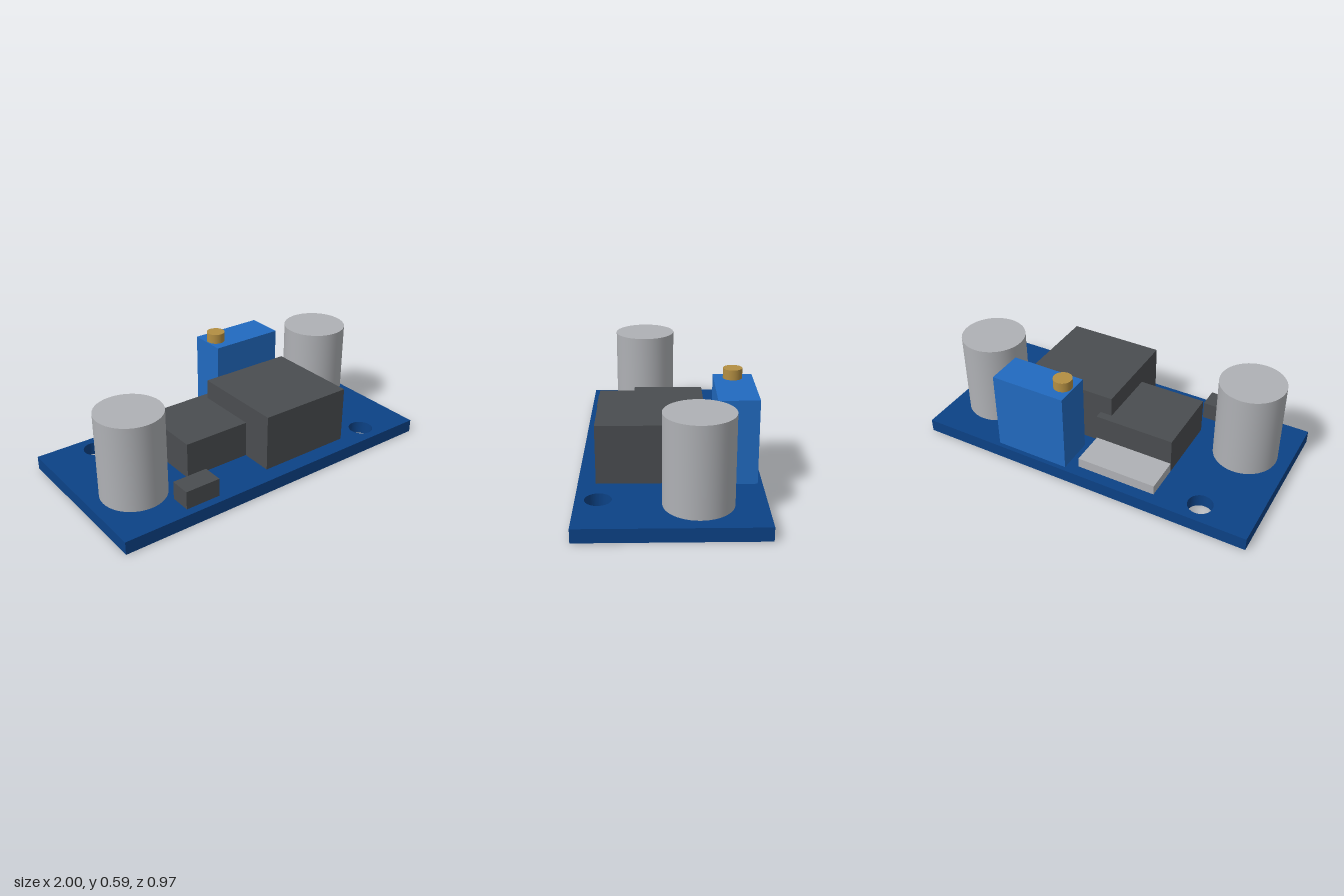
import * as THREE from 'three';

const BOARD_TOP = 0.075;

function material(name, color) {
  const m = new THREE.MeshStandardMaterial({ color });
  m.name = name;
  return m;
}

export function createModel() {
  const model = new THREE.Group();
  model.name = 'converterBoard';

  const boardBlue = material('board blue', 0x0c4286);
  const caseBlue = material('case blue', 0x216ac0);
  const darkGrey = material('dark grey', 0x4a4d50);
  const silver = material('silver', 0xafb1b5);
  const brass = material('brass', 0xb38e42);

  const add = (name, geometry, mat, x, y, z) => {
    const mesh = new THREE.Mesh(geometry, mat);
    mesh.name = name;
    mesh.position.set(x, y, z);
    model.add(mesh);
  };

  // Block spanning x0..x1 and z0..z1, from the board up to a given height
  const block = (name, mat, x0, x1, z0, z1, top) => {
    const h = top - BOARD_TOP;
    add(name, new THREE.BoxGeometry(x1 - x0, h, z1 - z0), mat,
      (x0 + x1) / 2, BOARD_TOP + h / 2, (z0 + z1) / 2);
  };

  // Upright cylinder between two heights
  const post = (name, mat, radius, x, z, bottom, top) => {
    add(name, new THREE.CylinderGeometry(radius, radius, top - bottom, 48), mat,
      x, (bottom + top) / 2, z);
  };

  // Circuit board with two mounting holes (shape y becomes -z)
  const outline = new THREE.Shape();
  outline.moveTo(-1, -0.485);
  outline.lineTo(1, -0.485);
  outline.lineTo(1, 0.485);
  outline.lineTo(-1, 0.485);
  outline.closePath();
  for (const side of [-1, 1]) {
    const hole = new THREE.Path();
    hole.absarc(side * 0.693, side * -0.367, 0.07, 0, Math.PI * 2, true);
    outline.holes.push(hole);
  }
  const boardGeometry = new THREE.ExtrudeGeometry(outline, {
    depth: BOARD_TOP, bevelEnabled: false, curveSegments: 32,
  });
  boardGeometry.rotateX(-Math.PI / 2);
  add('circuitBoard', boardGeometry, boardBlue, 0, 0, 0);

  // Capacitors at opposite ends
  for (const side of [-1, 1]) {
    post(side < 0 ? 'rightCapacitor' : 'leftCapacitor', silver, 0.183,
      side * 0.744, side * -0.138, BOARD_TOP, 0.562);
  }

  // Regulator chip with its metal tab, inductor and diode
  block('regulatorChip', darkGrey, -0.443, 0.022, -0.212, 0.202, 0.285);
  block('regulatorTab', silver, -0.443, 0.022, -0.418, -0.212, 0.133);
  block('inductor', darkGrey, -0.048, 0.508, -0.165, 0.39, 0.4);
  block('diode', darkGrey, -0.61, -0.403, 0.318, 0.438, 0.18);

  // Trimmer with adjusting screw
  block('trimmerCase', caseBlue, 0.085, 0.523, -0.459, -0.243, 0.538);
  post('trimmerScrew', brass, 0.053, 0.145, -0.348, 0.538, 0.594);

  return model;
}
